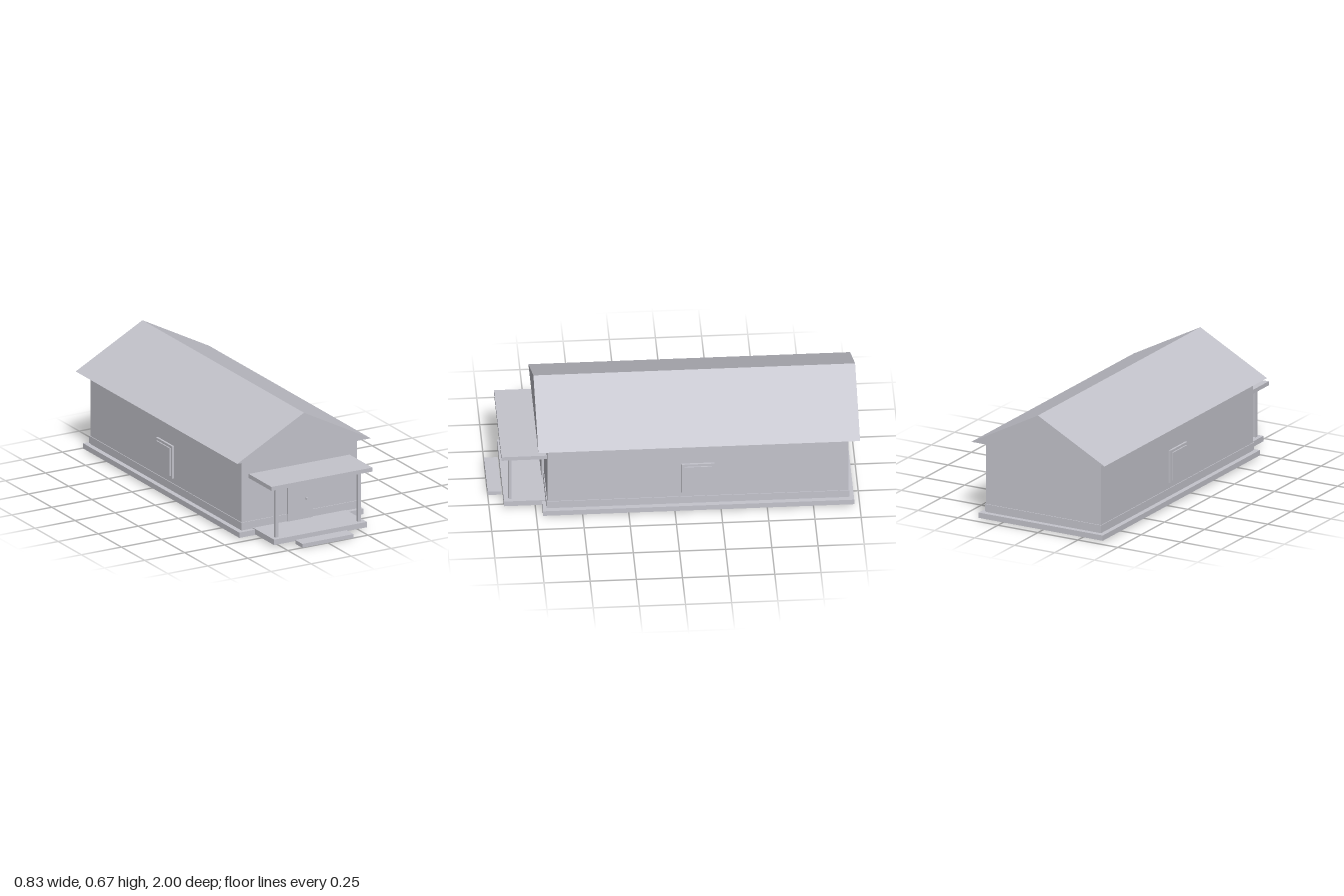
import * as THREE from 'three';

export function createModel() {
  const house = new THREE.Group();
  house.name = 'house';
  const grey = new THREE.MeshStandardMaterial({ color: 0xc4c4cc });
  grey.name = 'plain grey';
  grey.side = THREE.DoubleSide;

  // Box given by its extents on each axis
  function box(name, [x0, x1], [y0, y1], [z0, z1], parent = house) {
    const mesh = new THREE.Mesh(new THREE.BoxGeometry(x1 - x0, y1 - y0, z1 - z0), grey);
    mesh.position.set((x0 + x1) / 2, (y0 + y1) / 2, (z0 + z1) / 2);
    mesh.name = name;
    parent.add(mesh);
    return mesh;
  }

  // Main building
  box('foundation', [-0.388, 0.388], [0.01, 0.04], [-0.97, 0.715]);
  box('walls', [-0.36, 0.36], [0.04, 0.447], [-0.94, 0.69]);
  box('plinth', [-0.364, 0.364], [0.045, 0.086], [-0.945, 0.695]);

  // Gabled roof, open underneath
  const [w, eave, ridge, back, front] = [0.417, 0.447, 0.667, -1, 0.742];
  const FL = [-w, eave, front], FR = [w, eave, front], FT = [0, ridge, front];
  const BL = [-w, eave, back], BR = [w, eave, back], BT = [0, ridge, back];
  const corners = [
    FL, FR, FT, BR, BL, BT, // gables
    FR, BR, BT, FR, BT, FT, // left slope
    BL, FL, FT, BL, FT, BT, // right slope
  ];
  const roofGeometry = new THREE.BufferGeometry();
  roofGeometry.setAttribute('position', new THREE.Float32BufferAttribute(corners.flat(), 3));
  roofGeometry.computeVertexNormals();
  const roof = new THREE.Mesh(roofGeometry, grey);
  roof.name = 'roof';
  house.add(roof);

  // Porch
  const porch = new THREE.Group();
  porch.name = 'porch';
  house.add(porch);
  box('porchFloor', [-0.29, 0.29], [0.014, 0.045], [0.69, 0.92], porch);
  box('porchRoof', [-0.315, 0.315], [0.333, 0.356], [0.69, 0.935], porch);
  box('step', [-0.16, 0.16], [0, 0.022], [0.925, 1], porch);
  for (const x of [-0.258, 0.258]) {
    box('porchPost', [x - 0.009, x + 0.009], [0.045, 0.333], [0.877, 0.895], porch);
  }

  // Door and handle
  box('door', [-0.077, 0.077], [0.045, 0.298], [0.685, 0.703]);
  box('doorHandle', [0.032, 0.041], [0.152, 0.164], [0.703, 0.713]);

  // One window on each side wall
  for (const side of [-1, 1]) {
    const span = (a, b) => [side * a, side * b].sort((p, q) => p - q);
    box('windowFrame', span(0.355, 0.372), [0.117, 0.302], [-0.215, -0.037]);
    box('windowPane', span(0.365, 0.379), [0.13, 0.288], [-0.2, -0.052]);
  }

  return house;
}
